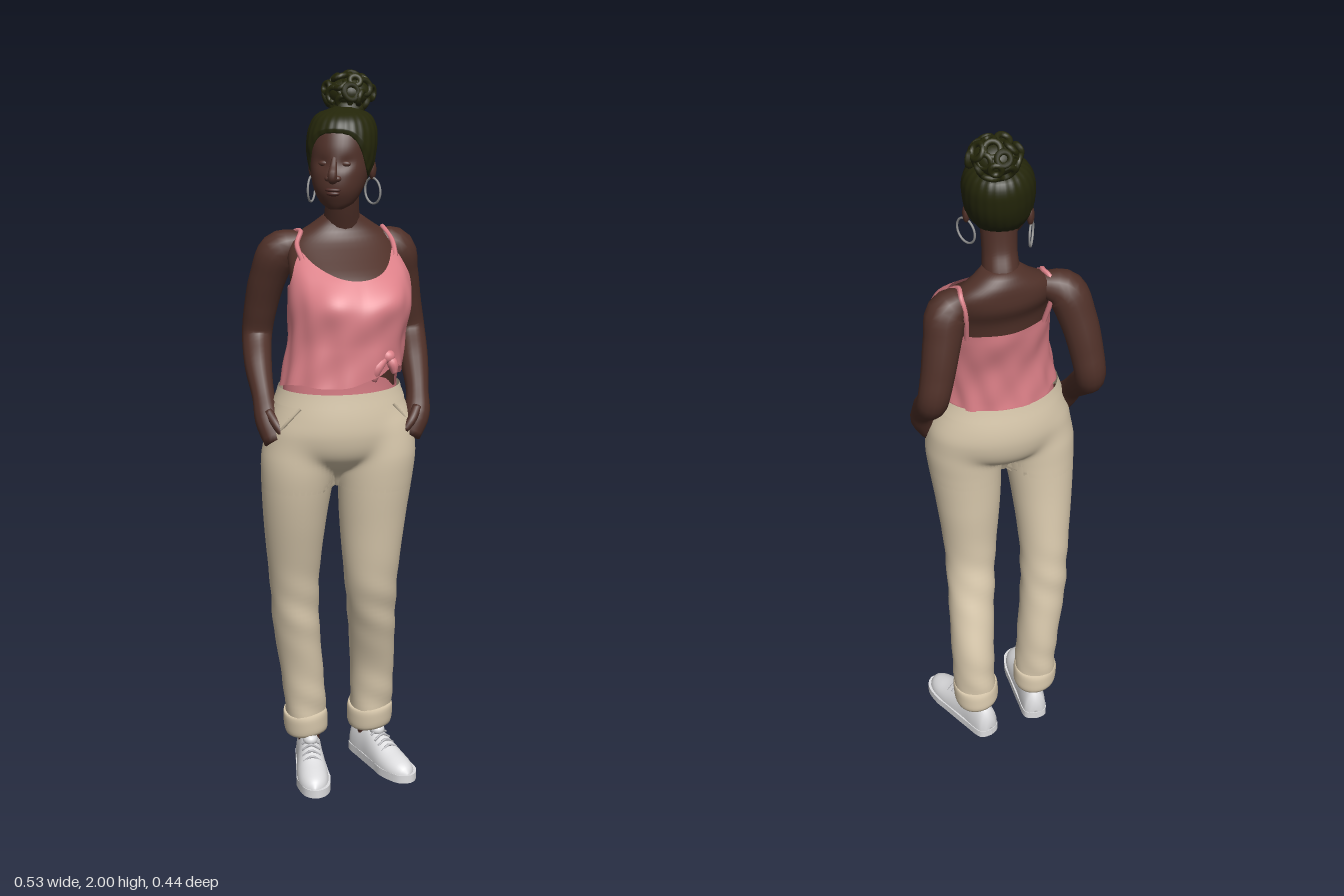
import * as THREE from 'three';

const mat = (name, color, side = THREE.FrontSide) => {
  const m = new THREE.MeshStandardMaterial({ color, side });
  m.name = name;
  return m;
};
const V = (x, y, z) => new THREE.Vector3(x, y, z);

// Smoothly interpolate rows [key, ...values], sorted by key
function sample(rows, y) {
  const n = rows.length - 1;
  let i = 0;
  while (i < n - 1 && y > rows[i + 1][0]) i++;
  const a = rows[i], b = rows[i + 1], h = b[0] - a[0];
  const t = Math.min(1, Math.max(0, (y - a[0]) / h));
  const slope = (j, k) => {
    const p = rows[Math.max(j - 1, 0)], q = rows[Math.min(j + 1, n)];
    return (q[k] - p[k]) / (q[0] - p[0]);
  };
  return a.slice(1).map((v, k) => {
    const t2 = t * t, t3 = t2 * t;
    return (2 * t3 - 3 * t2 + 1) * v + (t3 - 2 * t2 + t) * h * slope(i, k + 1)
      + (3 * t2 - 2 * t3) * b[k + 1] + (t3 - t2) * h * slope(i + 1, k + 1);
  });
}

// Point on a body of stacked ellipses [y, cx, cz, halfWidth, halfDepth]; angle 0 is the front
function bodyPoint(rows, yaw, y, a, off = 0) {
  const [cx, cz, w, d] = sample(rows, y);
  const x = Math.sin(a) * (w + off), z = Math.cos(a) * (d + off);
  return V(cx + x * Math.cos(yaw) + z * Math.sin(yaw), y, cz - x * Math.sin(yaw) + z * Math.cos(yaw));
}

// Distance from (ox, oz) along world angle b to the far wall of a body's ellipse at height y
function reach(rows, yaw, y, ox, oz, b) {
  const [cx, cz, w, d] = sample(rows, y), c = Math.cos(yaw), s = Math.sin(yaw);
  const px = ox - cx, pz = oz - cz;
  const u = (px * c - pz * s) / w, v = (px * s + pz * c) / d;
  const du = Math.sin(b - yaw) / w, dv = Math.cos(b - yaw) / d;
  const A = du * du + dv * dv, B = u * du + v * dv, disc = B * B - A * (u * u + v * v - 1);
  return disc < 0 ? 0 : Math.max(0, (-B + Math.sqrt(disc)) / A);
}

// Closed-around surface from fn(t, angle), t running along the part
function surface(fn, rings, segs, capped = true) {
  const pos = [], idx = [];
  for (let j = 0; j <= rings; j++)
    for (let i = 0; i < segs; i++) {
      const a = (i / segs) * Math.PI * 2;
      pos.push(...fn(j / rings, a > Math.PI ? a - 2 * Math.PI : a).toArray());
    }
  for (let j = 0; j < rings; j++)
    for (let i = 0; i < segs; i++) {
      const k = (i + 1) % segs, p = j * segs, q = p + segs;
      idx.push(p + i, p + k, q + k, p + i, q + k, q + i);
    }
  if (capped) for (const [start, end] of [[0, false], [rings * segs, true]]) {
    const c = V(0, 0, 0), id = pos.length / 3;
    for (let i = 0; i < segs; i++) c.add(V(...pos.slice((start + i) * 3, (start + i) * 3 + 3)));
    pos.push(...c.divideScalar(segs).toArray());
    for (let i = 0; i < segs; i++) {
      const k = (i + 1) % segs;
      if (end) idx.push(id, start + i, start + k); else idx.push(id, start + k, start + i);
    }
  }
  const g = new THREE.BufferGeometry();
  g.setAttribute('position', new THREE.Float32BufferAttribute(pos, 3));
  g.setIndex(idx);
  g.computeVertexNormals();
  return g;
}

// Tapered tube through [x, y, z, radius] points
function limb(pts, rings = 24, segs = 16) {
  const curve = new THREE.CatmullRomCurve3(pts.map(p => V(p[0], p[1], p[2])));
  const f = curve.computeFrenetFrames(rings);
  const radii = pts.map((p, i) => [i / (pts.length - 1), p[3]]);
  return surface((t, a) => {
    const j = Math.round(t * rings), r = sample(radii, curve.getUtoTmapping(t))[0];
    return curve.getPointAt(t).addScaledVector(f.normals[j], r * Math.cos(a)).addScaledVector(f.binormals[j], r * Math.sin(a));
  }, rings, segs);
}

const TORSO_YAW = 0.48, HIP_YAW = 0.44, LEG_YAW = 0.3;
const torso = [
  [1.12, .03, .06, .15, .112], [1.2, .035, .062, .148, .11], [1.3, .048, .06, .147, .118],
  [1.4, .055, .048, .157, .134], [1.47, .045, .02, .158, .115], [1.52, .022, -.02, .15, .092],
  [1.56, .012, -.045, .135, .066], [1.59, .013, -.052, .088, .055], [1.62, .016, -.045, .046, .044]];
const pelvis = [
  [.89, .025, .06, .02, .02], [.93, .025, .06, .05, .045], [.965, .028, .06, .12, .09], [1, .03, .06, .17, .118],
  [1.05, .03, .06, .192, .133], [1.1, .03, .06, .185, .134], [1.175, .03, .062, .16, .123]];
const head = [
  [1.652, .025, .075, .02, .02], [1.665, .025, .06, .043, .044], [1.7, .025, .046, .064, .073],
  [1.74, .025, .027, .076, .091], [1.78, .025, .01, .081, .098], [1.82, .025, 0, .084, .099],
  [1.86, .025, -.01, .078, .09], [1.89, .025, -.015, .056, .065], [1.905, .025, -.02, .012, .014]];
const legs = {
  right: [[.12, -.08, 0, .058, .062], [.3, -.088, .012, .061, .066], [.45, -.098, .035, .066, .071],
    [.6, -.1, .055, .07, .075], [.8, -.088, .088, .088, .092], [.92, -.077, .1, .1, .101],
    [1, -.067, .1, .104, .102], [1.08, -.052, .095, .09, .09], [1.13, -.04, .09, .07, .07]],
  left: [[.12, .09, -.09, .06, .066], [.3, .1, -.072, .063, .068], [.45, .108, -.025, .067, .071],
    [.6, .112, .018, .074, .074], [.8, .118, .028, .093, .091], [.92, .125, .031, .103, .101],
    [1, .127, .03, .105, .104], [1.08, .118, .03, .093, .093], [1.13, .105, .03, .075, .075]]
};

export function createModel() {
  const root = new THREE.Group();
  const skin = mat('brown skin', 0x4f3028), hair = mat('dark hair', 0x24260a, THREE.DoubleSide);
  const pink = mat('pink cloth', 0xdc8088, THREE.DoubleSide), cream = mat('cream cloth', 0xd9c9ad, THREE.DoubleSide);
  const white = mat('white shoe', 0xdedee0), lace = mat('grey lace', 0xb4b4b8);
  const metal = mat('silver', 0x8f8f8f), lip = mat('lip', 0x4a2924);
  const add = (name, geo, m, parent = root) => {
    const mesh = new THREE.Mesh(geo, m);
    mesh.name = name;
    parent.add(mesh);
    return mesh;
  };
  const blob = (name, p, s, m, parent) => {
    const b = add(name, new THREE.SphereGeometry(1, 20, 14), m, parent);
    b.position.copy(p);
    b.scale.set(...s);
  };
  const tube = (name, pts, r, m) => add(name, new THREE.TubeGeometry(new THREE.CatmullRomCurve3(pts), 24, r, 6), m);
  const tp = (y, a, off) => bodyPoint(torso, TORSO_YAW, y, a, off);
  const hp = (y, a, off) => bodyPoint(pelvis, HIP_YAW, y, a, off);
  const fp = (y, a, off) => bodyPoint(head, 0, y, a, off);
  const bell = (x, w) => Math.exp(-((x / w) ** 2));

  // Torso, neck and arms
  add('torso', surface((t, a) => tp(1.12 + .5 * t, a), 36, 48), skin);
  add('neck', limb([[.012, 1.5, -.05, .04], [.014, 1.58, -.048, .05], [.021, 1.65, -.021, .046], [.025, 1.74, 0, .05]]), skin);
  add('rightArm', limb([[-.07, 1.548, -.008, .026], [-.143, 1.523, .006, .053], [-.18, 1.45, -.004, .051], [-.206, 1.36, -.02, .046],
    [-.219, 1.28, -.026, .042], [-.2, 1.21, .04, .038], [-.17, 1.14, .105, .031], [-.148, 1.085, .145, .035], [-.122, 1.03, .168, .03]], 40), skin);
  add('leftArm', limb([[.08, 1.548, -.083, .026], [.145, 1.522, -.115, .053], [.158, 1.45, -.14, .051], [.169, 1.36, -.164, .046],
    [.183, 1.28, -.174, .042], [.207, 1.21, -.107, .039], [.229, 1.14, -.035, .031], [.234, 1.085, .005, .036], [.218, 1.03, .03, .031]], 40), skin);
  add('rightThumb', limb([[-.145, 1.11, .155, .014], [-.115, 1.08, .178, .013], [-.095, 1.055, .185, .01]], 10, 10), skin);
  add('leftThumb', limb([[.238, 1.11, .02, .014], [.228, 1.08, .05, .013], [.212, 1.055, .065, .01]], 10, 10), skin);

  // Camisole with rounded neckline, loose folds and a hem raised beside the knot
  const neckline = a => Math.abs(a) < .9 ? 1.472 + .075 * a * a : 1.437 + .096 * bell(Math.abs(a) - .9, .42);
  const hem = a => 1.188 + .016 * Math.cos(a) + .045 * bell(a - .8, .45) + .005 * Math.sin(a * 5);
  add('camisole', surface((t, a) => {
    const y = hem(a) + (neckline(a) - hem(a)) * t, low = (1 - t) ** 2;
    const bust = .014 * bell(y - 1.425, .05) * bell(Math.abs(a) - .5, .4);
    const fold = .003 * Math.sin(a * 13 + y * 18) * (1 - t) + .0015 * Math.sin(a * 7 - y * 45);
    return tp(y, a, .009 + bust + fold + low * (.006 + .024 * Math.max(0, Math.cos(a + .2))));
  }, 36, 96, false), pink);
  add('underHem', surface((t, a) => tp(1.13 + (.085 - .04 * bell(a - 1.05, .3)) * t, a, .007), 6, 64, false), pink);
  for (const s of [-1, 1])
    tube('strap', [tp(1.515, s * .92, .011), tp(1.55, s * 1.08, .008), tp(1.577, s * 1.4, .007),
      tp(1.57, s * 1.9, .008), tp(1.53, s * 2.25, .008), tp(1.43, s * 2.45, .012)], .007, pink);

  // Tied knot with two tails and gathered folds
  const knot = tp(1.272, .55, .016);
  blob('knot', knot, [.022, .02, .02], pink);
  for (const [dx, dy, dz] of [[.022, -.045, .002], [-.028, -.062, .03]])
    add('knotTail', limb([[knot.x, knot.y, knot.z, .01], [knot.x + dx * .7, knot.y + dy * .4, knot.z + dz, .015],
      [knot.x + dx, knot.y + dy, knot.z + dz, .007]], 10, 10), pink);
  for (const s of [-1, 1])
    add('knotGather', limb([0, .25, .5, .8].map((k, i) => [...tp(1.27 - .045 * k, .55 + s * k, .018 - .003 * i).toArray(), .013 - .003 * i]), 16, 10), pink);

  // Trousers: seat blended over both thighs, waistband, pockets, legs and cuffs
  add('trouserSeat', surface((t, a) => {
    const y = .89 + .285 * t, [cx, cz] = sample(pelvis, y), b = a + HIP_YAW;
    const r = [[pelvis, HIP_YAW], [legs.right, LEG_YAW], [legs.left, LEG_YAW]]
      .reduce((sum, [rows, yaw]) => sum + reach(rows, yaw, y, cx, cz, b) ** 16, 0) ** (1 / 16) + .002 * Math.min(1, t * 3);
    return V(cx + r * Math.sin(b), y, cz + r * Math.cos(b));
  }, 36, 96, false), cream);
  add('waistband', surface((t, a) => hp(1.137 + .04 * t, a, .006), 3, 64, false), cream);
  for (const s of [-1, 1])
    tube('pocketEdge', [hp(1.137, s * .8, .003), hp(1.09, s * 1.02, .004), hp(1.04, s * 1.3, .004)], .005, cream);
  for (const [side, rows] of Object.entries(legs)) {
    add(side + 'TrouserLeg', surface((t, a) => {
      const y = .12 + 1.01 * t;
      const crease = bell(y - .52, .1) + bell(y - .22, .07);
      return bodyPoint(rows, LEG_YAW, y, a, .003 * crease * Math.sin(y * 55 + a * 2) * Math.sin(a + 1) + .002 * Math.sin(a * 3 + y * 16) * (1 - t) ** 2);
    }, 60, 36), cream);
    add(side + 'Cuff', surface((t, a) => bodyPoint(rows, LEG_YAW, .11 + .065 * t + .004 * Math.sin(a * 2), a, .006 - .004 * (2 * t - 1) ** 4), 8, 36), cream);
  }

  // Feet: ankle, sole, upper, tongue and laces
  const sole = new THREE.Shape();
  sole.moveTo(0, -.078);
  sole.splineThru([[.033, -.063], [.041, 0], [.047, .09], [.05, .138], [.04, .19], [.008, .215], [-.028, .197], [-.046, .138],
    [-.044, .09], [-.039, 0], [-.033, -.063], [0, -.078]].map(p => new THREE.Vector2(...p)));
  const upper = [[-.074, .018, .065], [-.064, .031, .093], [-.03, .037, .108], [.02, .038, .107], [.068, .042, .09],
    [.122, .045, .068], [.165, .041, .057], [.196, .027, .046], [.21, .008, .03]];
  for (const [side, x, z, yaw] of [['right', -.069, .008, .3], ['left', .092, -.088, .75]]) {
    const foot = new THREE.Group();
    foot.name = side + 'Foot';
    foot.position.set(x, 0, z);
    foot.rotation.y = yaw;
    root.add(foot);
    add('ankle', new THREE.CylinderGeometry(.034, .031, .1, 20).translate(0, .12, -.01), skin, foot);
    add('sole', new THREE.ExtrudeGeometry(sole, { depth: .024, bevelEnabled: false, curveSegments: 40 })
      .rotateX(Math.PI / 2).translate(0, .024, 0), white, foot);
    add('upper', surface((t, a) => {
      const zz = -.074 + .284 * t, [w, h] = sample(upper, zz), s = Math.sin(a);
      return V(w * Math.cos(a), .015 + (s > 0 ? (h - .015) * s ** .85 : 0), zz);
    }, 28, 32), white, foot);
    blob('tongue', V(0, .1, .04), [.022, .018, .024], white, foot);
    for (let i = 0; i < 4; i++)
      add('lace', limb([[-.026, .088 - i * .009, .05 + i * .019, .003], [0, .103 - i * .009, .05 + i * .019, .004],
        [.026, .088 - i * .009, .05 + i * .019, .003]], 8, 8), lace, foot);
  }

  // Head and face with lowered lids
  add('head', surface((t, a) => {
    const y = 1.652 + .253 * t;
    const socket = .006 * bell(y - 1.772, .016) * bell(Math.abs(a) - .4, .25);
    return fp(y, a, -socket);
  }, 40, 48), skin);
  add('nose', limb([[.025, 1.79, .098, .007], [.025, 1.765, .112, .01], [.025, 1.743, .126, .013], [.025, 1.73, .115, .012]], 14, 12), skin);
  for (const s of [-1, 1]) {
    blob('nostril', V(.025 + s * .012, 1.736, .116), [.01, .008, .01], skin);
    blob('eyelid', fp(1.772, s * .4, -.009), [.015, .008, .008], skin);
    blob('ear', V(.025 + s * .081, 1.745, -.005), [.01, .027, .017], skin);
    const ring = add('hoopEarring', new THREE.TorusGeometry(.034, .003, 8, 32), metal);
    ring.position.set(.025 + s * .083, 1.69, 0);
    ring.rotation.y = s > 0 ? -.75 : 1.5;
  }
  blob('upperLip', V(.025, 1.707, .117), [.021, .006, .01], lip);
  blob('lowerLip', V(.025, 1.697, .115), [.018, .007, .01], lip);

  // Hair pulled back into a bun of curled locks
  const hairline = a => 1.765 + .085 * Math.exp(-((a / 1.05) ** 4)) - .065 * (1 - Math.cos(a)) / 2;
  add('hairCap', surface((t, a) => {
    const y = hairline(a) + (1.906 - hairline(a)) * t;
    return fp(y, a, .001 + .008 * Math.min(1, t * 5) + .0008 * Math.sin(a * 24));
  }, 24, 120), hair);
  const bun = new THREE.Group();
  bun.name = 'bun';
  bun.position.set(.028, 1.938, -.066);
  root.add(bun);
  blob('bunCore', V(0, 0, 0), [.06, .044, .054], hair, bun);
  blob('bunBase', V(0, -.04, .012), [.048, .03, .045], hair, bun);
  const count = 24;
  for (let i = 0; i < count; i++) {
    const y = 1 - 1.8 * (i + .5) / count, r = Math.sqrt(1 - y * y), a = i * 2.4;
    const dir = V(r * Math.cos(a), y, r * Math.sin(a)), spread = 1 + .08 * Math.sin(i * 3);
    const lock = add('curledLock', new THREE.TorusGeometry(.014 + .003 * (i % 3), .008, 8, 16), hair, bun);
    lock.position.set(dir.x * .056 * spread, dir.y * .044, dir.z * .05 * spread);
    lock.quaternion.setFromUnitVectors(V(0, 0, 1), V(dir.x, dir.y, dir.z + .6 * Math.sin(i * 5)).normalize());
  }
  return root;
}
